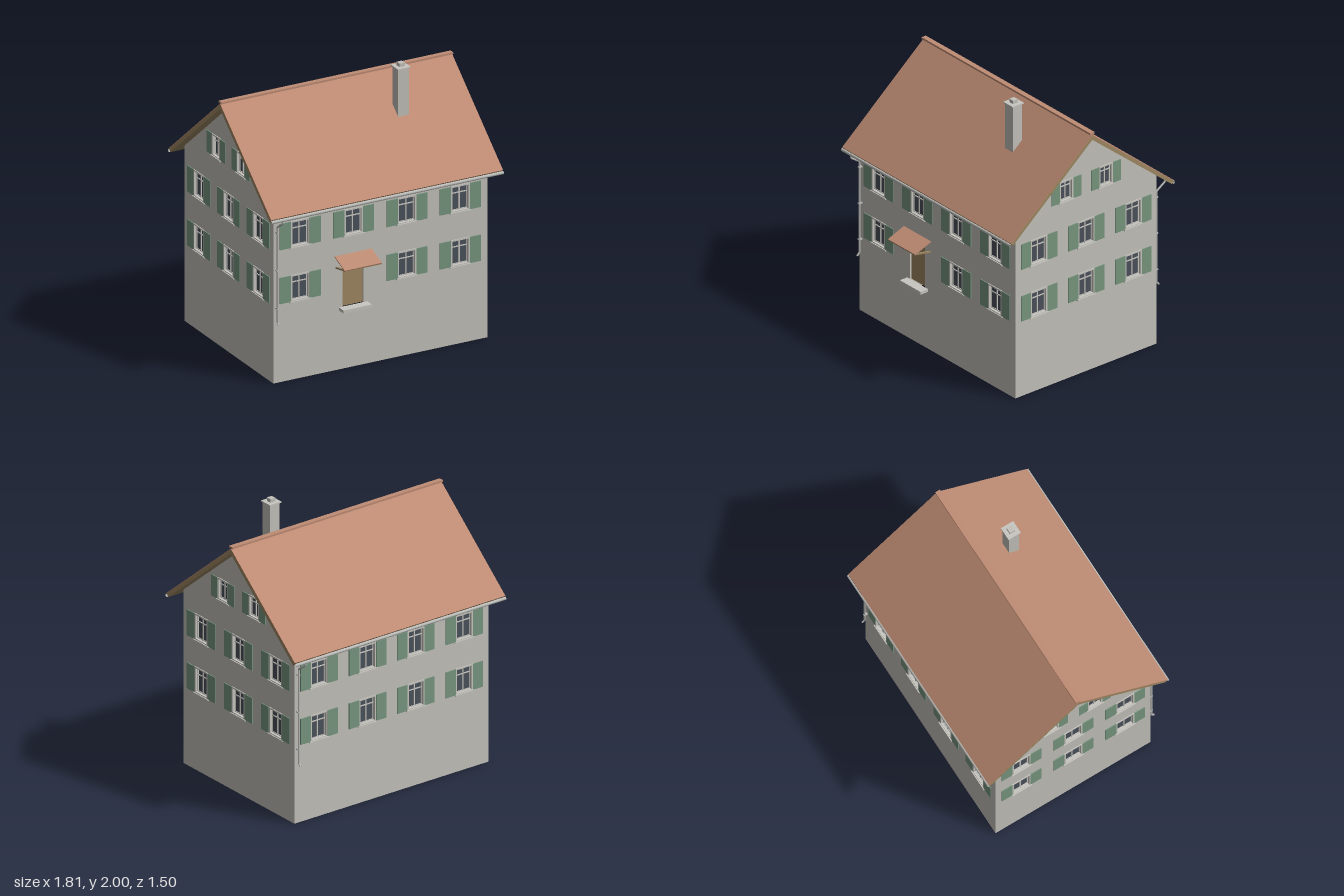
import * as THREE from 'three';

const mat = (name, color, side = THREE.FrontSide) => {
  const m = new THREE.MeshStandardMaterial({ color, side });
  m.name = name;
  return m;
};

export function createModel() {
  const M = {
    wall: mat('plaster', 0xc4c2bb, THREE.DoubleSide),
    trim: mat('stoneTrim', 0xc9c7c1),
    glass: mat('windowGlass', 0x4b525b, THREE.DoubleSide),
    shutter: mat('shutterGreen', 0x77977f),
    tile: mat('roofTile', 0xbf8c74),
    wood: mat('wood', 0xa08862),
    metal: mat('gutterMetal', 0xbcbcb9, THREE.DoubleSide),
  };
  const HX = 0.835, HZ = 0.625, RZ = -0.022;          // wall half sizes, ridge position
  const ROOF_X = 0.905, ROOF_D = 0.722, APEX = 1.86, SLOPE = 0.828;
  const WALL_APEX = 1.822, WALL_EAVE = WALL_APEX - SLOPE * HZ;

  const model = new THREE.Group();
  model.name = 'house';
  const house = new THREE.Group();                    // everything symmetric about the ridge
  house.name = 'body';
  house.position.z = RZ;
  model.add(house);

  const add = (parent, name, geo, material, x = 0, y = 0, z = 0) => {
    const m = new THREE.Mesh(geo, material);
    m.name = name;
    m.position.set(x, y, z);
    parent.add(m);
    return m;
  };
  const box = (parent, name, material, w, h, d, x, y, z) =>
    add(parent, name, new THREE.BoxGeometry(w, h, d), material, x, y, z);
  const poly = (pts) => new THREE.Shape(pts.map(([x, y]) => new THREE.Vector2(x, y)));
  const rect = (w, h, x = 0, y = 0) => poly([
    [x - w / 2, y - h / 2], [x + w / 2, y - h / 2], [x + w / 2, y + h / 2], [x - w / 2, y + h / 2]]);

  // Window facing +z, with stone frame, glazing bars, sill and a pair of shutters
  const EDGE = 0.011;
  function makeWindow({ w, h, s }) {
    const g = new THREE.Group();
    g.name = 'window';
    const iw = w - 2 * EDGE, ih = h - 2 * EDGE;
    const ring = rect(w, h);
    ring.holes.push(rect(iw, ih));
    add(g, 'frame', new THREE.ExtrudeGeometry(ring, { depth: 0.028, bevelEnabled: false }), M.trim, 0, 0, -0.022);
    add(g, 'glass', new THREE.PlaneGeometry(iw, ih), M.glass, 0, 0, -0.018);
    box(g, 'mullion', M.trim, 0.009, ih, 0.006, 0, 0, -0.014);
    box(g, 'transom', M.trim, iw, 0.007, 0.006, 0, h / 2 - 0.3 * h, -0.014);
    for (const k of [-1, 1]) {
      box(g, 'sashSide', M.trim, 0.006, ih, 0.005, k * (iw / 2 - 0.003), 0, -0.015);
      box(g, 'sashRail', M.trim, iw, 0.006, 0.005, 0, k * (ih / 2 - 0.003), -0.015);
      box(g, 'shutter', M.shutter, s, h - 0.004, 0.006, k * (w / 2 + s / 2), 0, 0.004);
    }
    box(g, 'sill', M.trim, w + 0.02, 0.01, 0.024, 0, -h / 2 - 0.001, 0.002);
    return g;
  }

  // One wall with openings, its windows and an optional door
  function facade(name, outline, windows, door, rotY, x, z) {
    const g = new THREE.Group();
    g.name = name;
    const shape = poly(outline);
    for (const o of windows) {
      shape.holes.push(rect(o.w - 2 * EDGE, o.h - 2 * EDGE, o.x, o.y));
      const win = makeWindow(o);
      win.position.set(o.x, o.y, 0);
      g.add(win);
    }
    if (door) {
      shape.holes.push(rect(door.w, door.h, door.x, door.y));
      const [l, r] = [door.x - door.w / 2, door.x + door.w / 2];
      for (const e of [l - 0.002, r + 0.002]) box(g, 'doorReveal', M.trim, 0.004, door.h, 0.024, e, door.y, -0.012);
      box(g, 'doorHead', M.trim, door.w, 0.004, 0.024, door.x, door.y + door.h / 2 + 0.002, -0.012);
      box(g, 'door', M.wood, door.w, door.h, 0.008, door.x, door.y, -0.018);
    }
    add(g, 'wall', new THREE.ShapeGeometry(shape), M.wall);
    g.rotation.y = rotY;
    g.position.set(x, 0, z);
    house.add(g);
    return g;
  }

  const LOW = 0.678, HIGH = 1.078;
  const win = (x, y) => ({ x, y, w: 0.146, h: 0.198, s: 0.086 });
  const attic = (x) => ({ x, y: 1.46, w: 0.118, h: 0.163, s: 0.07 });
  const cols = [-0.627, -0.21, 0.206, 0.622];
  const longWall = [[-HX, 0], [HX, 0], [HX, WALL_EAVE], [-HX, WALL_EAVE]];
  const gableWall = [[-HZ, 0], [HZ, 0], [HZ, WALL_EAVE], [0, WALL_APEX], [-HZ, WALL_EAVE]];
  const all = cols.flatMap((x) => [win(x, LOW), win(x, HIGH)]);
  const door = { x: -0.212, y: 0.614, w: 0.162, h: 0.31 };
  const front = facade('frontWall', longWall, all.filter((o) => !(o.x === -0.21 && o.y === LOW)), door, 0, 0, HZ);
  facade('backWall', longWall, all, null, Math.PI, 0, -HZ);
  const gableWins = [-0.418, 0, 0.418].flatMap((x) => [win(x, LOW), win(x, HIGH)])
    .concat([-0.175, 0.175].map(attic));
  for (const k of [-1, 1]) facade(k > 0 ? 'leftGable' : 'rightGable', gableWall, gableWins, null, k * Math.PI / 2, k * HX, 0);

  // Doorstep and canopy with two raking brackets
  box(front, 'doorstep', M.trim, 0.222, 0.022, 0.066, -0.213, 0.45, 0.033);
  const canopy = box(front, 'canopy', M.tile, 0.29, 0.007, 0.152, -0.212, 0.816, 0.072);
  canopy.rotation.x = Math.atan2(0.054, 0.142);
  box(front, 'canopyBeam', M.wood, 0.285, 0.01, 0.01, -0.212, 0.786, 0.136);
  for (const x of [-0.344, -0.08]) {
    const b = box(front, 'canopyBracket', M.wood, 0.011, 0.012, 0.145, x, 0.773, 0.069);
    b.rotation.x = -Math.atan2(0.028, 0.142);
  }

  // Roof: timber deck with a thin tile layer, swept along x
  const ang = Math.atan(SLOPE), nz = Math.sin(ang), ny = Math.cos(ang);
  const yTop = (d) => APEX - SLOPE * d;
  const layer = (from, to) => {                        // depths measured square to the slope
    const e = (t) => [ROOF_D - nz * t, yTop(ROOF_D) - ny * t];
    const geo = new THREE.ExtrudeGeometry(
      poly([[0, APEX - from / ny], [0, APEX - to / ny], e(to), e(from)]),
      { depth: 2 * ROOF_X, bevelEnabled: false });
    return geo.translate(0, 0, -ROOF_X).rotateY(-Math.PI / 2);
  };
  for (const k of [0, Math.PI]) {
    const side = new THREE.Group();
    side.name = k ? 'backRoof' : 'frontRoof';
    side.rotation.y = k;
    house.add(side);
    add(side, 'roofDeck', layer(0.005, 0.031), M.wood);
    add(side, 'roofTiles', layer(0, 0.005), M.tile);

    // Half-round gutter
    const gut = new THREE.CylinderGeometry(0.012, 0.012, 2 * ROOF_X, 8, 1, true, -Math.PI / 2, Math.PI);
    gut.rotateZ(Math.PI / 2).rotateX(0);
    const pos = gut.attributes.position;
    let low = 0;
    for (let i = 0; i < pos.count; i++) low += pos.getY(i);
    if (low > 0) gut.rotateX(Math.PI);                 // keep the open side up
    add(side, 'gutter', gut, M.metal, 0, 1.244, ROOF_D - 0.001);

    // Downpipe with swan neck, clamps and a kicked-out foot
    const px = -0.813, pz = HZ + 0.02;
    const path = new THREE.CurvePath();
    const pts = [[1.235, ROOF_D - 0.003], [1.215, ROOF_D - 0.003], [1.165, pz], [0.46, pz], [0.438, pz + 0.02]]
      .map(([y, z]) => new THREE.Vector3(px, y, z));
    for (let i = 1; i < pts.length; i++) path.add(new THREE.LineCurve3(pts[i - 1], pts[i]));
    add(side, 'downpipe', new THREE.TubeGeometry(path, 80, 0.007, 8), M.metal);
    for (const y of [0.56, 0.84, 1.12]) box(side, 'pipeClamp', M.metal, 0.018, 0.008, 0.03, px, y, HZ + 0.014);
  }
  box(house, 'ridgeCap', M.tile, 2 * ROOF_X, 0.014, 0.038, 0, 1.868, 0);

  // Chimney
  const cx = 0.365, cz = 0.23;
  box(model, 'chimneyStack', M.wall, 0.083, 0.36, 0.083, cx, 1.787, cz);
  box(model, 'chimneyCap', M.trim, 0.1, 0.009, 0.1, cx, 1.97, cz);
  box(model, 'chimneyPot', M.wall, 0.042, 0.026, 0.042, cx, 1.987, cz);
  return model;
}
